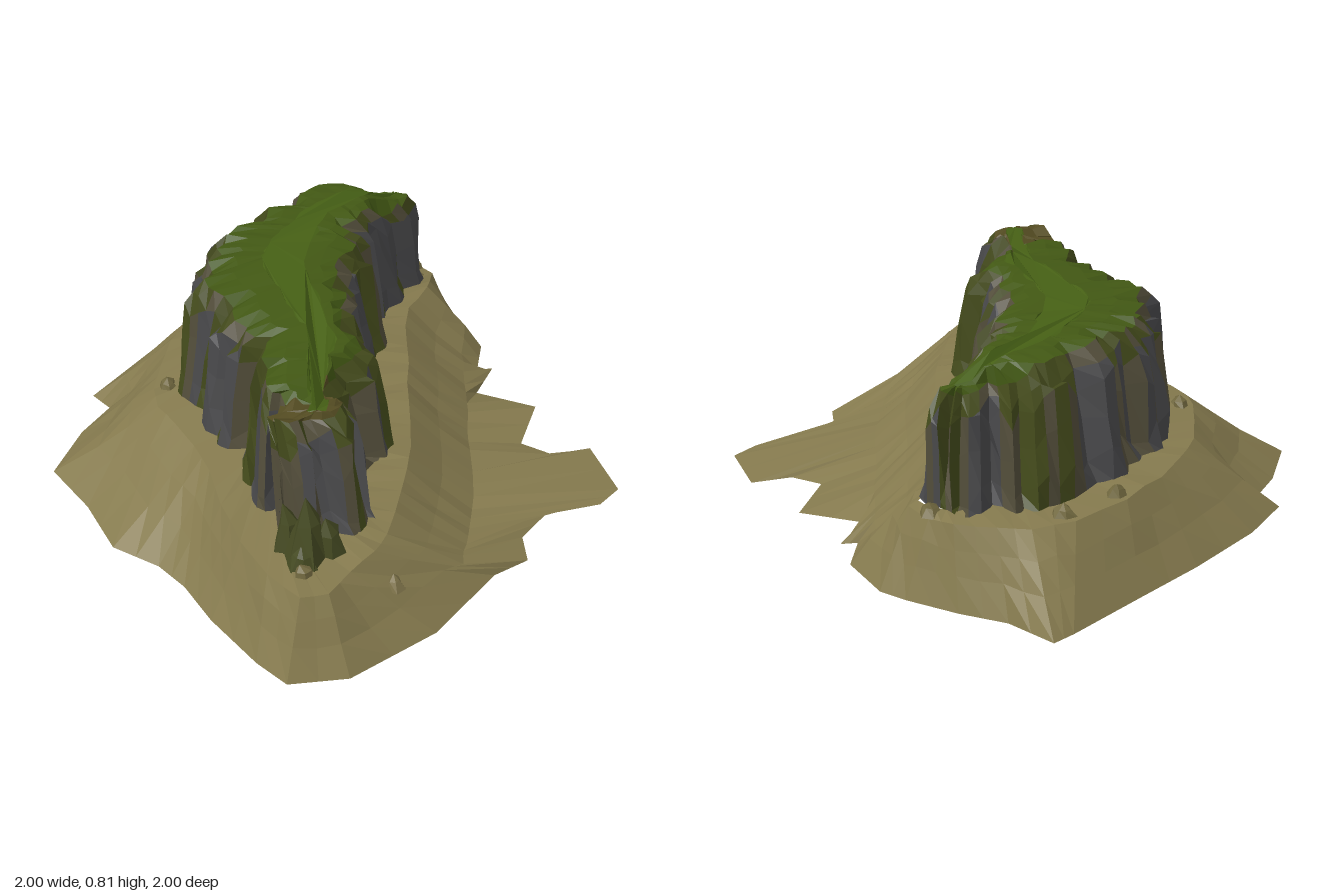
import * as THREE from 'three';

// Plan outlines as x,z pairs, matched point for point, running round from the back left
const CREST = [-.32, -.45, -.2, -.54, -.1, -.6, 0, -.63, .12, -.64, .3, -.64, .48, -.63, .6, -.6, .66, -.51,
  .77, -.46, .81, -.4, .8, -.32, .65, -.3, .5, -.28, .4, -.23, .32, -.13, .2, -.08, .1, 0, .04, .12, -.05, .2,
  -.1, .35, -.22, .38, -.36, .42, -.41, .52, -.42, .59, -.53, .59, -.62, .55, -.68, .5, -.68, .42, -.6, .38,
  -.61, .28, -.54, .15, -.45, .05, -.47, -.08, -.41, -.22, -.4, -.35];
const RIM = [-.5, -.5, -.38, -.6, -.25, -.7, -.1, -.76, .08, -.81, .3, -.83, .55, -.81, .7, -.74, .78, -.65,
  .86, -.52, .88, -.42, .87, -.31, .78, -.25, .62, -.2, .52, -.12, .43, -.02, .35, .07, .26, .15, .17, .25, .08, .35,
  -.02, .45, -.12, .53, -.22, .6, -.32, .67, -.42, .73, -.52, .77, -.65, .78, -.78, .81, -.87, .76, -.87, .59,
  -.83, .4, -.75, .2, -.66, .03, -.61, -.12, -.58, -.27, -.56, -.4];
const FOOT = [-.67, -.78, -.49, -.83, -.49, -.94, -.25, -.99, .1, -1, .4, -.99, .75, -.98, .84, -.97, .85, -.77,
  .92, -.6, .98, -.4, 1, -.29, .94, -.07, .81, .03, .86, .07, .69, .14, .8, .37, .58, .49, .62, .62, .76, .7,
  .65, .94, .53, .95, .36, .84, .17, .87, .09, .97, -.06, .94, -.43, 1, -.81, .95, -.99, .82, -1, .67,
  -.98, .4, -.94, .2, -.94, .05, -1, -.15, -.93, -.4, -.9, -.66];
const SPINE = [[.7, -.4], [.3, -.42], [0, -.28], [-.22, .2], [-.52, .5]].map(p => new THREE.Vector2(...p));

let seed = 7;
const rand = () => (seed = (seed * 16807) % 2147483647) / 2147483647;
const jitter = a => (rand() - 0.5) * 2 * a;
const smooth = THREE.MathUtils.smoothstep;

// Closed outline with straight subdivisions between its points
function ring(flat, sub) {
  const n = flat.length / 2;
  const at = i => new THREE.Vector2(flat[(i % n) * 2], flat[(i % n) * 2 + 1]);
  return Array.from({ length: n * sub }, (_, k) => at(Math.floor(k / sub)).lerp(at(Math.floor(k / sub) + 1), (k % sub) / sub));
}

function nearestOnSpine(p) {
  let best = null, bestD = Infinity;
  for (let i = 0; i < SPINE.length - 1; i++) {
    const d = SPINE[i + 1].clone().sub(SPINE[i]);
    const t = THREE.MathUtils.clamp(p.clone().sub(SPINE[i]).dot(d) / d.lengthSq(), 0, 1);
    const q = SPINE[i].clone().addScaledVector(d, t);
    if (q.distanceTo(p) < bestD) { best = q; bestD = q.distanceTo(p); }
  }
  return best;
}

// Plateau height: lower at the right end, with a notch before the front pillar
const topY = (x, z) => 0.8 - 0.08 * smooth(x, 0.5, 0.7) - 0.025 * smooth(z, 0.05, 0.3)
  - 0.05 * Math.exp(-(((z - 0.4) / 0.05) ** 2));
const vec = (p, y) => new THREE.Vector3(p.x, y, p.y);

function rockMesh(name, color, points) {
  const geo = new THREE.BufferGeometry().setFromPoints(points);
  geo.computeVertexNormals();
  const mesh = new THREE.Mesh(geo, new THREE.MeshStandardMaterial({ color, flatShading: true, side: THREE.DoubleSide }));
  mesh.name = name;
  return mesh;
}

// Joins closed rows of points, keeping only the quads that pass the test
function loft(name, color, rows, keep = () => true) {
  const points = [], n = rows[0].length;
  for (let r = 0; r < rows.length - 1; r++) for (let i = 0; i < n; i++) {
    if (!keep(r, i)) continue;
    const j = (i + 1) % n;
    const a = rows[r][i], b = rows[r][j], c = rows[r + 1][j], d = rows[r + 1][i];
    points.push(a, d, c, a, c, b);
  }
  return rockMesh(name, color, points);
}

// Jagged rock: an uneven ring drawn up to an off-centre tip
function crag(name, color, x, y, z, radius, height) {
  const around = (s, h) => Array.from({ length: 6 }, (_, i) => {
    const a = i * Math.PI / 3, d = radius * s * (1 + jitter(0.3));
    return new THREE.Vector3(x + Math.cos(a) * d, y + h, z + Math.sin(a) * d);
  });
  const tip = new THREE.Vector3(x + jitter(radius * 0.3), y + height, z + jitter(radius * 0.3));
  return loft(name, color, [around(1, 0), around(0.6, height * 0.6), Array(6).fill(tip)]);
}

export function createModel() {
  const model = new THREE.Group();
  model.name = 'rockPlateau';

  // Earth skirt: a plain slope, but a steep bank above a low apron along the front right
  const sc = ring(CREST, 2), sr = ring(RIM, 2), sf = ring(FOOT, 2);
  const skirt = [[], [], [], [], []];
  sf.forEach((f, i) => {
    const k = i / 2, r = sr[i], c = sc[i];
    const bank = smooth(k, 11, 14) * (1 - smooth(k, 21, 26));
    const bankFoot = r.clone().add(new THREE.Vector2(0.17, 0.18));
    const knee = r.clone().lerp(f, 0.57).lerp(bankFoot, bank);
    skirt[0].push(vec(f, 0));
    skirt[1].push(vec(knee, 0.115 - 0.055 * bank + jitter(0.01)));
    skirt[2].push(vec(r.clone().lerp(knee, 0.5), 0.21 - 0.045 * bank + jitter(0.01)));
    skirt[3].push(vec(r, 0.295 + jitter(0.006)));
    skirt[4].push(vec(c.clone().lerp(r, Math.min(0.4, 0.03 / c.distanceTo(r))), 0.31 + jitter(0.008)));
  });
  model.add(loft('earthSkirt', 0x857a4e, skirt));

  // Craggy cliff: random buttresses and gullies, narrowing towards the top.
  // Each level holds a height, an outward step and how far the pleats reach.
  const crest = ring(CREST, 3), rim = ring(RIM, 3);
  const levels = [[0.3, 0.07, 0.5], [0.4, 0.045, 1], [0.57, 0.02, 1], [0.69, 0, 1], [0.95, -0.025, 0.8], [1, -0.07, 0.5]];
  const cliff = levels.map(() => []);
  const tint = [];
  crest.forEach((p, i) => {
    const out = rim[i].clone().sub(p);
    const gap = out.length();
    out.normalize();
    const gully = rand() < 0.33;
    const pleat = gully ? -0.045 : 0.01 + jitter(0.02);
    const top = topY(p.x, p.y) - (gully ? 0.025 : 0.01) + jitter(0.015);
    levels.forEach(([h, push, reach], r) => {
      const offset = Math.min(push + pleat * reach + jitter(0.01), gap * 0.65);
      const y = r === 0 ? h + jitter(0.01) : r < 4 ? h * top / 0.8 + jitter(0.045) : r === 4 ? top - 0.05 + jitter(0.035) : top;
      const q = p.clone().addScaledVector(out, offset);
      q.x = Math.min(q.x, 0.815);
      cliff[r].push(vec(q, y));
    });
    tint.push(rand());
  });
  const kind = (r, i) => r === 4 ? (tint[i] > 0.3 ? 2 : 1) : r === 3 && tint[i] > 0.5 ? 2 : tint[i] > 0.84 ? 2 : tint[i] > 0.5 ? 1 : 0;
  [['greyCliff', 0x48484a], ['brownCliff', 0x524d3a], ['mossyCliff', 0x434a1b]].forEach(([name, color], k) =>
    model.add(loft(name, color, cliff, (r, i) => kind(r, i) === k)));

  // Gently domed grass closing in towards the spine, with a flat cap in the middle
  const edge = cliff[levels.length - 1];
  const turf = [0, 0.35, 0.7].map(t => edge.map(v => {
    const p = new THREE.Vector2(v.x, v.z);
    const q = p.clone().lerp(nearestOnSpine(p), t);
    return vec(q, t === 0 ? v.y : topY(q.x, q.y) + 0.012 * t + jitter(0.004));
  }));
  const inFront = i => crest[i].y > 0.4;
  model.add(loft('grassTop', 0x425814, turf, (r, i) => !inFront(i)));
  model.add(loft('dryPillarTop', 0x544c22, turf, (r, i) => inFront(i)));
  const inner = turf[turf.length - 1];
  const faces = THREE.ShapeUtils.triangulateShape(inner.map(v => new THREE.Vector2(v.x, -v.z)), []);
  model.add(rockMesh('grassCap', 0x466015, faces.flat().map(i => inner[i])));

  // Rock spires beside the front pillar
  [[-0.7, 0.62, 0.08, 0.27], [-0.63, 0.65, 0.06, 0.16], [-0.76, 0.65, 0.05, 0.1], [-0.72, 0.53, 0.06, 0.2]].forEach(([x, z, r, h]) =>
    model.add(crag('rockSpire', 0x454a22, x, 0.29, z, r, h)));

  // Low earth heaps on the shelf and one loose stone on the front slope
  [[0.85, -0.4], [0.3, -0.78], [0.55, -0.75], [-0.45, -0.47], [-0.78, 0.68]].forEach(([x, z]) =>
    model.add(crag('earthHeap', 0x71683f, x, 0.29, z, 0.045, 0.05)));
  model.add(crag('looseStone', 0x7c7148, -0.5, 0.17, 0.85, 0.035, 0.06));
  return model;
}
